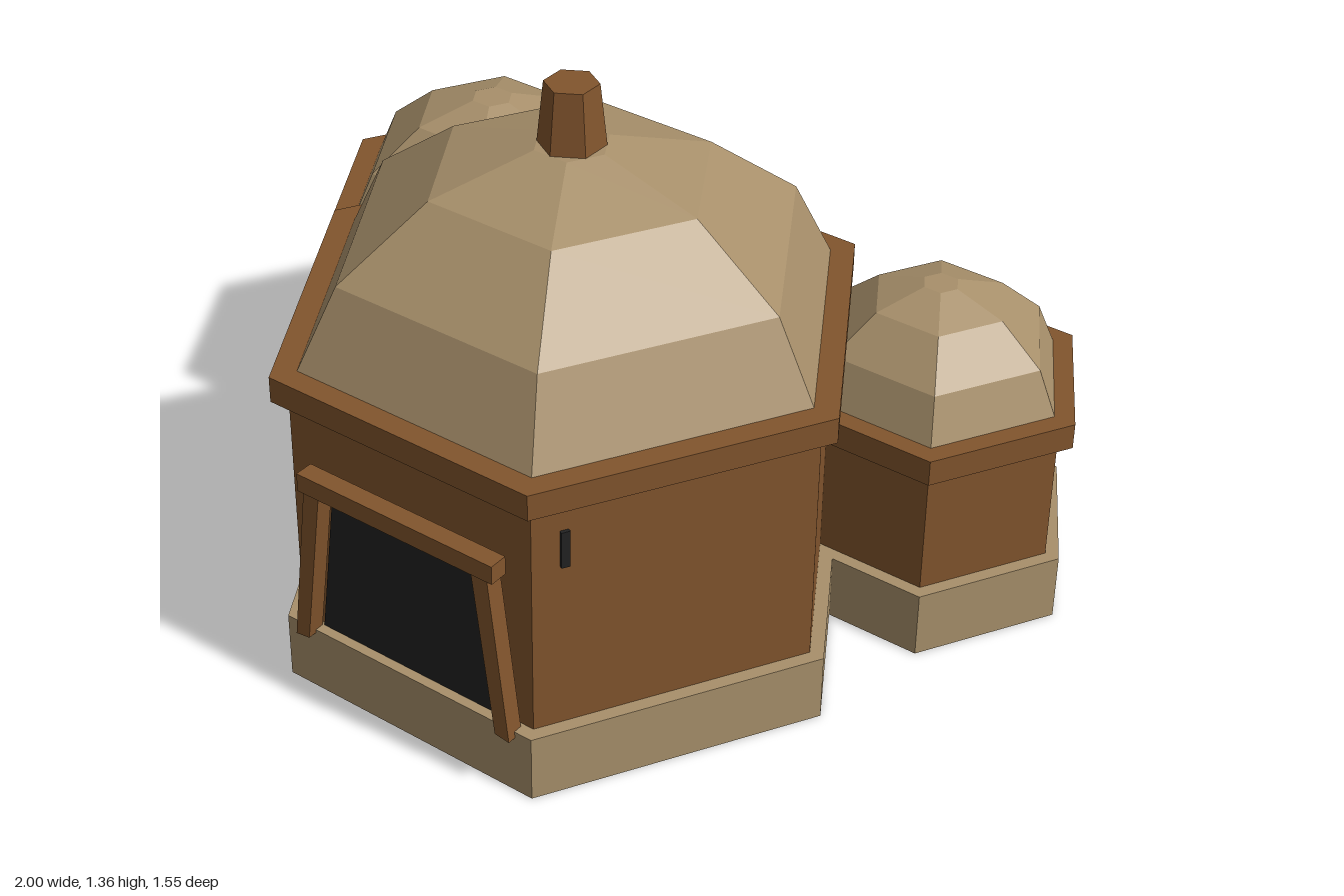
import * as THREE from 'three';

const clay = new THREE.MeshStandardMaterial({ color: 0x82552d });
clay.name = 'brown clay';
const stone = new THREE.MeshStandardMaterial({ color: 0xa8906b });
stone.name = 'tan stone';
const dark = new THREE.MeshStandardMaterial({ color: 0x222222 });
dark.name = 'dark opening';

// Facet a geometry and wrap it in a named mesh
function part(name, geometry, material) {
  const geo = geometry.index ? geometry.toNonIndexed() : geometry;
  geo.computeVertexNormals();
  const mesh = new THREE.Mesh(geo, material);
  mesh.name = name;
  return mesh;
}

// Six-sided prism between two heights, corners on the x axis by default
function hexPrism(name, rTop, rBottom, y0, y1, material, turn = Math.PI / 6) {
  const geo = new THREE.CylinderGeometry(rTop, rBottom, y1 - y0, 6, 1, false, turn);
  geo.translate(0, (y0 + y1) / 2, 0);
  return part(name, geo, material);
}

// Plate with an outline in x and y, extruded from z0 to z1
function plate(name, outline, z0, z1, material) {
  const shape = new THREE.Shape(outline.map(([x, y]) => new THREE.Vector2(x, y)));
  const geo = new THREE.ExtrudeGeometry(shape, { depth: z1 - z0, bevelEnabled: false });
  geo.translate(0, 0, z0);
  return part(name, geo, material);
}

// Hut: plinth, wall, overhanging rim and faceted dome
function hut(name, { x, z, plinth, wall, rim, dome, rimY, domeY, topY }) {
  const group = new THREE.Group();
  group.name = name;
  group.position.set(x, 0, z);
  const profile = [[1, 0], [0.85, 0.45], [0.516, 0.832], [0.137, 1], [0, 1]]
    .map(([r, h]) => new THREE.Vector2(r * dome, domeY + h * (topY - domeY)));
  group.add(
    hexPrism('plinth', plinth, plinth, 0, 0.163, stone),
    hexPrism('wall', wall, wall, 0.163, rimY, clay),
    hexPrism('rim', rim, rim, rimY, domeY, clay),
    part('dome', new THREE.LatheGeometry(profile, 6, Math.PI / 6), stone)
  );
  return group;
}

export function createModel() {
  const model = new THREE.Group();
  model.name = 'domedHuts';

  const main = hut('mainHut', {
    x: 0.07, z: 0.16, plinth: 0.686, wall: 0.65, rim: 0.69, dome: 0.628,
    rimY: 0.741, domeY: 0.803, topY: 1.217
  });
  const left = hut('smallHutLeft', {
    x: 0.63, z: -0.46, plinth: 0.36, wall: 0.325, rim: 0.363, dome: 0.311,
    rimY: 0.475, domeY: 0.538, topY: 0.77
  });
  const right = hut('smallHutRight', {
    x: -0.575, z: -0.365, plinth: 0.418, wall: 0.383, rim: 0.427, dome: 0.366,
    rimY: 0.565, domeY: 0.625, topY: 0.887
  });

  // Chimney on the main dome
  main.add(hexPrism('chimney', 0.06, 0.077, 1.2, 1.36, clay, 0));

  // Doorway: dark opening, two leaning posts and a lintel
  const door = new THREE.Group();
  door.name = 'doorway';
  const wallZ = 0.65 * Math.cos(Math.PI / 6);
  door.add(plate('doorOpening',
    [[-0.255, 0.165], [0.255, 0.165], [0.21, 0.52], [-0.21, 0.52]], wallZ, wallZ + 0.009, dark));
  for (const side of [-1, 1]) {
    const outline = [[0.262, 0.153], [0.3, 0.148], [0.25, 0.558], [0.208, 0.558]]
      .map(([x, y]) => [x * side, y]);
    if (side < 0) outline.reverse();
    door.add(plate(side < 0 ? 'doorPostRight' : 'doorPostLeft', outline, wallZ + 0.009, 0.615, clay));
  }
  door.add(plate('lintel',
    [[-0.265, 0.555], [0.265, 0.555], [0.265, 0.6], [-0.265, 0.6]], wallZ + 0.009, 0.617, clay));
  main.add(door);

  // Narrow slit on the front left wall, close to the corner
  const slit = part('wallSlit', new THREE.BoxGeometry(0.02, 0.09, 0.009), dark);
  const pivot = new THREE.Group();
  pivot.name = 'slitMount';
  pivot.rotation.y = Math.PI / 3;
  slit.position.set(-0.252, 0.623, wallZ + 0.004);
  pivot.add(slit);
  main.add(pivot);

  model.add(main, left, right);
  return model;
}
